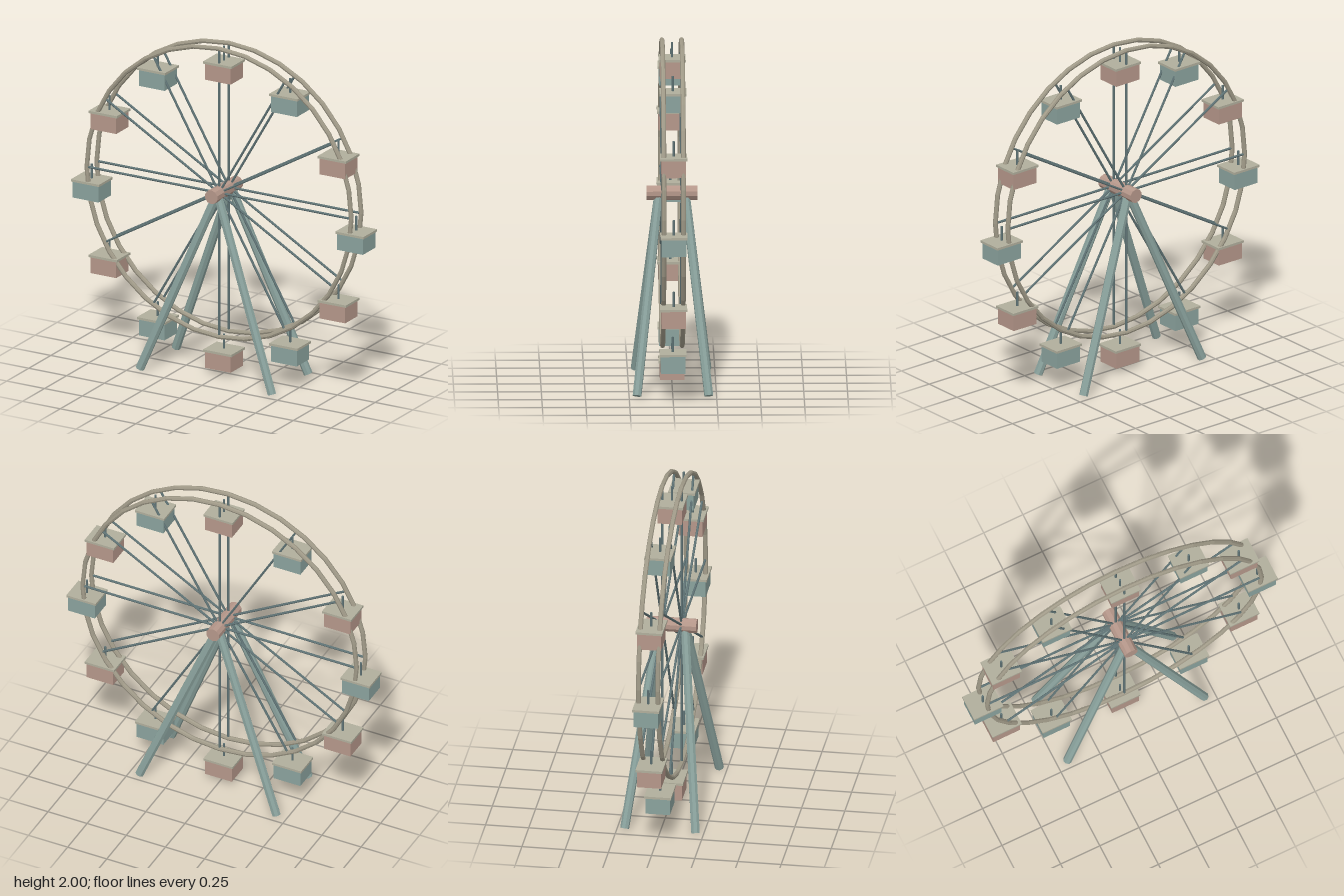
import * as THREE from 'three';

const HUB_Y = 1.11, RADIUS = 0.875, RIM_Z = 0.056, COUNT = 12;

const mat = (color) => new THREE.MeshStandardMaterial({ color, flatShading: true });
const pink = mat(0xb5978a), teal = mat(0x8aa29d), beige = mat(0xb0ae9c);
const rimMat = mat(0xa09a88), steel = mat(0x5f7375);

function add(parent, name, geometry, material, x = 0, y = 0, z = 0) {
  const mesh = new THREE.Mesh(geometry, material);
  mesh.name = name;
  mesh.position.set(x, y, z);
  parent.add(mesh);
  return mesh;
}

// Straight round bar between two points
function bar(parent, name, from, to, radius, sides, material) {
  const dir = to.clone().sub(from);
  const mesh = add(parent, name, new THREE.CylinderGeometry(radius, radius, dir.length(), sides), material);
  mesh.position.copy(from).add(to).multiplyScalar(0.5);
  mesh.quaternion.setFromUnitVectors(new THREE.Vector3(0, 1, 0), dir.normalize());
  return mesh;
}

// Cabin hanging below its pivot at the group origin
function makeCabin(material) {
  const cabin = new THREE.Group();
  cabin.name = 'cabin';
  add(cabin, 'hanger', new THREE.CylinderGeometry(0.007, 0.007, 0.1, 6), steel, 0, -0.05, 0);
  add(cabin, 'cabinRoof', new THREE.BoxGeometry(0.187, 0.014, 0.155), beige, 0, -0.094, 0);
  add(cabin, 'cabinBody', new THREE.BoxGeometry(0.17, 0.1, 0.14), material, 0, -0.149, 0);
  return cabin;
}

export function createModel() {
  const model = new THREE.Group();
  model.name = 'ferrisWheel';

  // Axle
  add(model, 'hub', new THREE.CylinderGeometry(0.042, 0.042, 0.29, 10), pink, 0, HUB_Y, 0).rotation.x = Math.PI / 2;

  // Two rims with spokes, and two legs on each side
  for (const side of [1, -1]) {
    const wheel = new THREE.Group();
    wheel.name = side > 0 ? 'frontWheel' : 'backWheel';
    wheel.position.set(0, HUB_Y, side * RIM_Z);
    add(wheel, 'rim', new THREE.TorusGeometry(RADIUS, 0.014, 8, 32), rimMat);
    for (let i = 0; i < COUNT; i++) {
      const a = (i / COUNT) * Math.PI * 2;
      const tip = new THREE.Vector3(Math.cos(a), Math.sin(a), 0).multiplyScalar(RADIUS);
      bar(wheel, 'spoke', new THREE.Vector3(), tip, 0.007, 6, steel);
    }
    model.add(wheel);

    for (const x of [1, -1]) {
      bar(model, 'supportLeg', new THREE.Vector3(0, HUB_Y, side * 0.075),
        new THREE.Vector3(x * 0.437, 0.01, side * 0.205), 0.026, 8, teal);
    }
  }

  // Upright cabins in alternating colours
  for (let i = 0; i < COUNT; i++) {
    const a = (i / COUNT) * Math.PI * 2;
    const cabin = makeCabin(i % 2 ? pink : teal);
    cabin.position.set(Math.cos(a) * RADIUS, HUB_Y + Math.sin(a) * RADIUS, 0);
    model.add(cabin);
  }
  return model;
}
